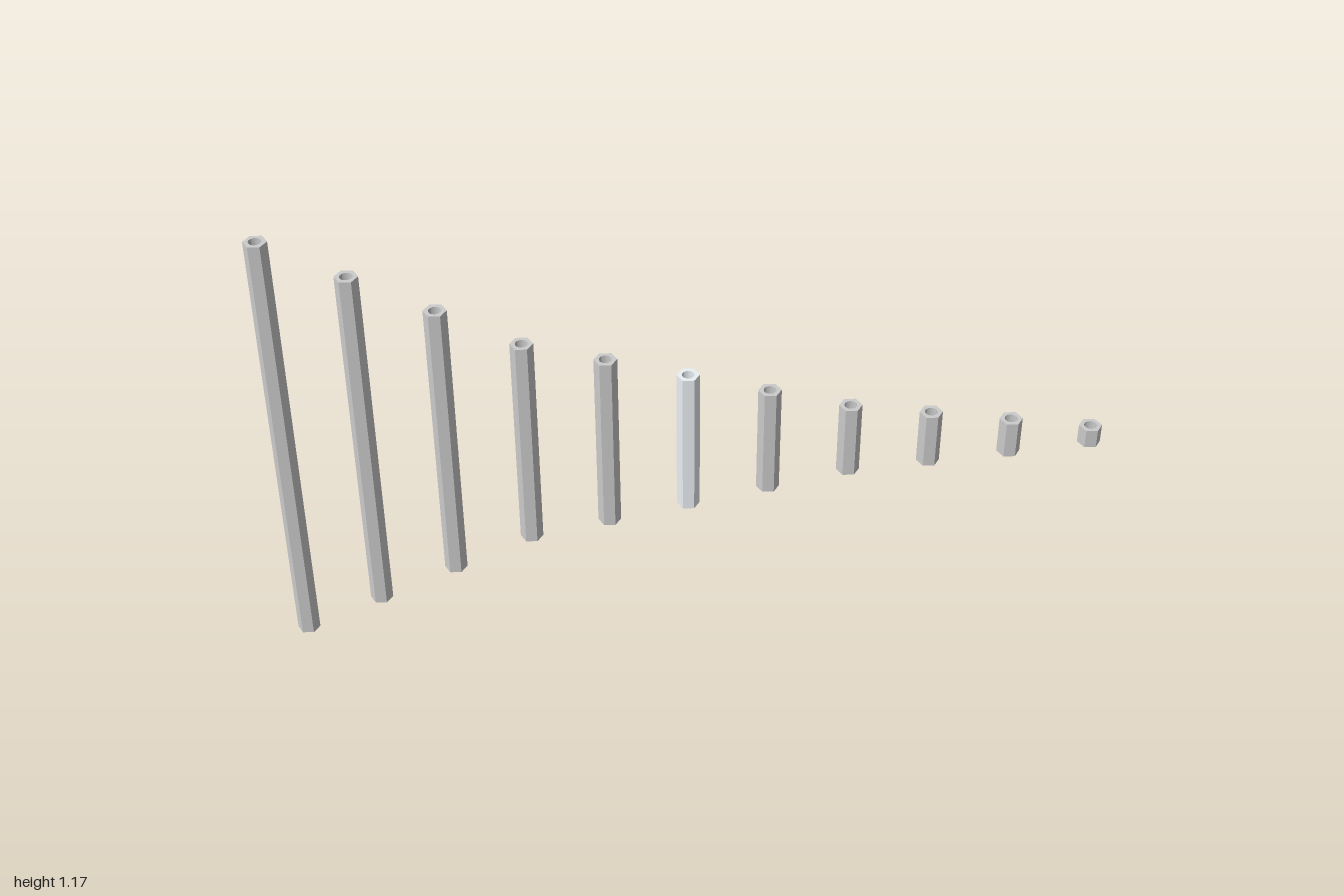
import * as THREE from 'three';
import { toCreasedNormals } from 'three/addons/utils/BufferGeometryUtils.js';

const UNIT = 0.0486;                 // hexagon width across flats
const HEX_RADIUS = UNIT / Math.sqrt(3);
const BORE_RADIUS = UNIT * 0.31;
const PITCH = UNIT * 4;
const LENGTHS = [24, 20, 16, 12, 10, 8, 6, 4, 3, 2, 1]; // in units, from -x to +x

// Hexagonal sleeve with a round through bore, centred on its own origin, axis along y
function sleeveGeometry(length) {
  const shape = new THREE.Shape();
  for (let i = 0; i < 6; i++) {
    const a = (i * Math.PI) / 3;
    const x = HEX_RADIUS * Math.cos(a), y = HEX_RADIUS * Math.sin(a);
    if (i === 0) shape.moveTo(x, y);
    else shape.lineTo(x, y);
  }
  shape.closePath();
  const bore = new THREE.Path();
  bore.absarc(0, 0, BORE_RADIUS, 0, Math.PI * 2, true);
  shape.holes.push(bore);

  const geometry = new THREE.ExtrudeGeometry(shape, { depth: length, bevelEnabled: false, curveSegments: 24 });
  geometry.translate(0, 0, -length / 2);
  geometry.rotateX(-Math.PI / 2);
  return toCreasedNormals(geometry, 0.6);
}

export function createModel() {
  const group = new THREE.Group();
  group.name = 'hexStandoffs';
  const grey = new THREE.MeshStandardMaterial({ color: 0xcccccc });
  const pale = new THREE.MeshStandardMaterial({ color: 0xeaf0f4 });
  const middle = (LENGTHS.length - 1) / 2;

  // Row of standoffs sharing one mid-height; the middle one is paler
  LENGTHS.forEach((n, i) => {
    const standoff = new THREE.Mesh(sleeveGeometry(n * UNIT), i === middle ? pale : grey);
    standoff.name = `standoff${i + 1}`;
    standoff.position.set((i - middle) * PITCH, (LENGTHS[0] * UNIT) / 2, 0);
    group.add(standoff);
  });
  return group;
}
